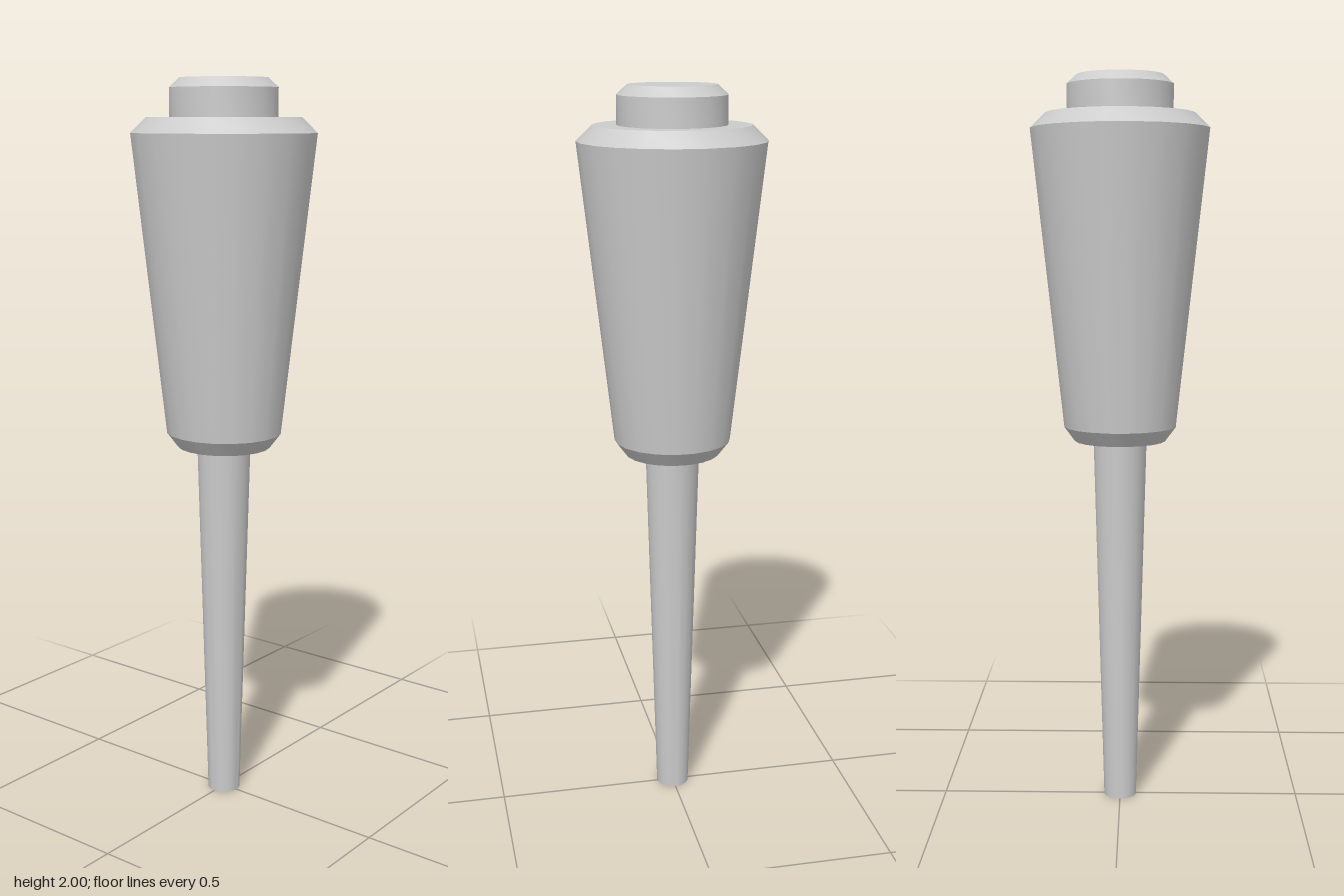
import * as THREE from 'three';
import { toCreasedNormals } from 'three/addons/utils/BufferGeometryUtils.js';

const SIDES = 20;
const material = new THREE.MeshStandardMaterial({ color: 0xcccccc });

// Turned part from [radius, height] pairs, bottom to top, with flats facing the axes
function turned(name, profile, depth = 1) {
  const points = profile.map(([r, y]) => new THREE.Vector2(r / Math.cos(Math.PI / SIDES), y));
  const lathe = new THREE.LatheGeometry(points, SIDES, Math.PI / SIDES);
  lathe.scale(1, 1, depth);
  const mesh = new THREE.Mesh(toCreasedNormals(lathe, 0.45), material);
  mesh.name = name;
  return mesh;
}

export function createModel() {
  const group = new THREE.Group();
  group.name = 'taperedTool';

  // Slim shaft, narrowing to a blunt tip
  group.add(turned('shaft', [[0, 0], [0.045, 0], [0.073, 1.03], [0, 1.03]]));

  // Flared grip with chamfered ends, slightly oval
  group.add(turned('handle', [
    [0, 1.02], [0.127, 1.02], [0.157, 1.06], [0.246, 1.86], [0.205, 1.9], [0, 1.9],
  ], 0.97));

  // Chamfered end cap
  group.add(turned('endCap', [[0, 1.89], [0.142, 1.89], [0.142, 1.975], [0.115, 2], [0, 2]]));

  return group;
}
